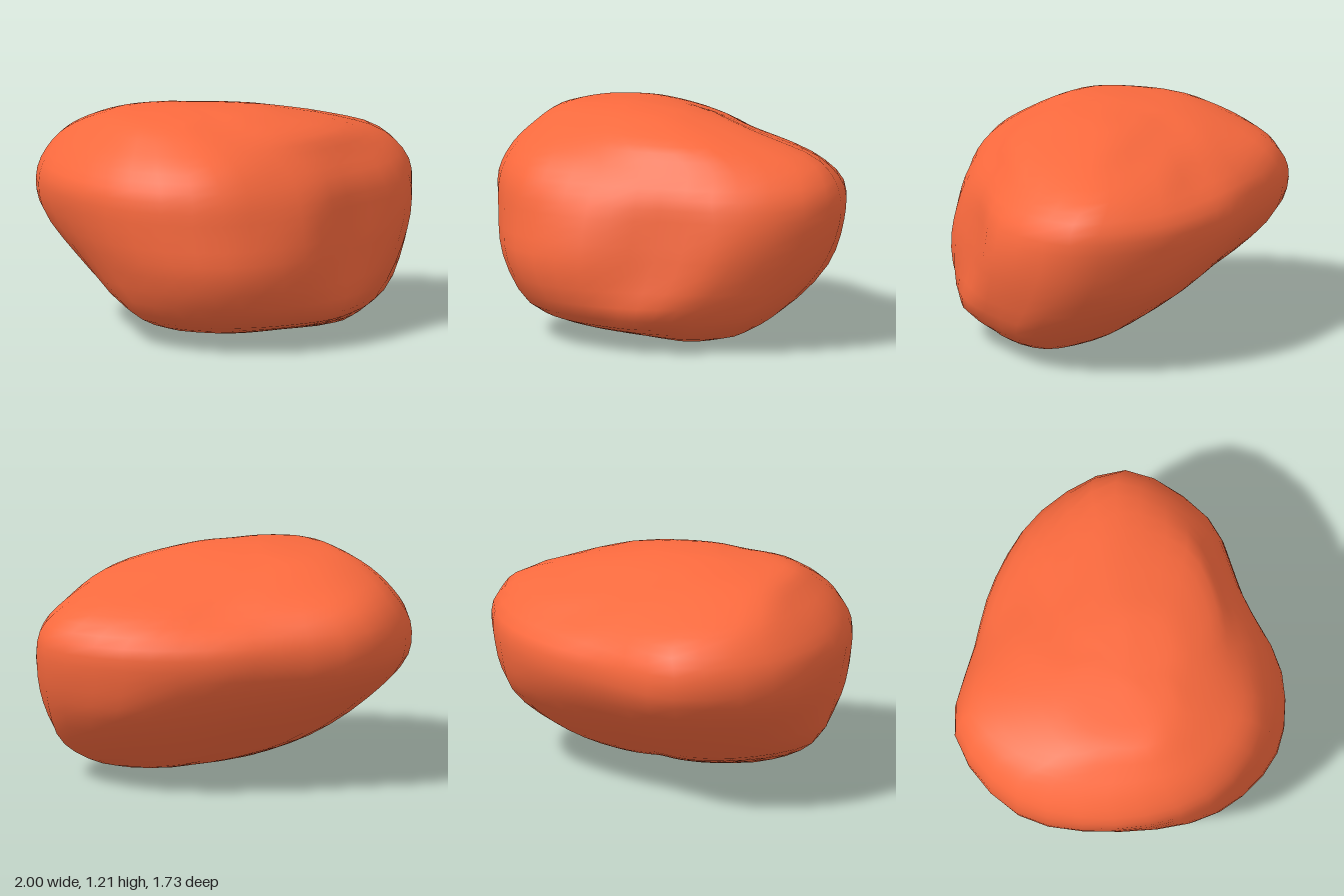
import * as THREE from 'three';

// Horizontal sections: height, centre x, centre z, then radii every 30 degrees
// starting at +x and turning towards the front (+z).
const SECTIONS = [
  { y: 0.06, cx: 0.05, cz: 0.22, r: [0.49, 0.43, 0.31, 0.27, 0.31, 0.43, 0.54, 0.36, 0.25, 0.20, 0.25, 0.36] },
  { y: 0.18, cx: 0, cz: 0.25, r: [0.75, 0.59, 0.55, 0.53, 0.58, 0.66, 0.73, 0.66, 0.58, 0.47, 0.54, 0.69] },
  { y: 0.42, cx: 0, cz: 0.10, r: [0.92, 0.80, 0.67, 0.75, 0.85, 0.88, 0.87, 0.89, 0.82, 0.67, 0.71, 0.86] },
  { y: 0.65, cx: 0, cz: 0, r: [0.99, 0.90, 0.73, 0.82, 0.93, 0.97, 0.97, 1.03, 0.96, 0.75, 0.76, 0.87] },
  { y: 0.83, cx: 0, cz: 0, r: [0.99, 0.85, 0.70, 0.75, 0.90, 0.97, 1.00, 1.04, 0.99, 0.76, 0.76, 0.87] },
  { y: 0.97, cx: -0.02, cz: -0.05, r: [0.89, 0.78, 0.67, 0.69, 0.86, 0.91, 0.90, 0.92, 0.85, 0.59, 0.53, 0.68] },
  { y: 1.08, cx: -0.15, cz: -0.02, r: [0.71, 0.71, 0.60, 0.55, 0.63, 0.67, 0.65, 0.70, 0.63, 0.49, 0.42, 0.47] },
  { y: 1.16, cx: -0.28, cz: 0, r: [0.48, 0.53, 0.43, 0.36, 0.40, 0.43, 0.41, 0.42, 0.38, 0.32, 0.28, 0.34] },
  { y: 1.19, cx: -0.25, cz: 0.05, r: [0.29, 0.30, 0.25, 0.20, 0.22, 0.26, 0.26, 0.25, 0.22, 0.19, 0.17, 0.20] },
];
const BOTTOM = new THREE.Vector3(0.15, 0, 0.2);
const TOP = new THREE.Vector3(-0.3, 1.205, 0.05);
const AROUND = 36;
const UP = 30;

// Closed smooth loop through one section
function sectionLoop({ y, cx, cz, r }) {
  const points = r.map((radius, i) => {
    const a = (i / r.length) * Math.PI * 2;
    return new THREE.Vector3(cx + radius * Math.cos(a), y, cz + radius * Math.sin(a));
  });
  return new THREE.CatmullRomCurve3(points, true);
}

// Skin the sections with smooth meridians running from the bottom to the top
function rockGeometry() {
  const loops = SECTIONS.map(sectionLoop);
  const positions = [];
  const index = [];
  for (let i = 0; i < AROUND; i++) {
    const meridian = new THREE.CatmullRomCurve3([
      BOTTOM, ...loops.map((loop) => loop.getPoint(i / AROUND)), TOP,
    ]);
    for (let j = 1; j < UP; j++) positions.push(...meridian.getPoint(j / UP).toArray());
  }
  const bottom = positions.length / 3;
  const top = bottom + 1;
  positions.push(...BOTTOM.toArray(), ...TOP.toArray());

  const rows = UP - 1;
  for (let i = 0; i < AROUND; i++) {
    const here = i * rows;
    const next = ((i + 1) % AROUND) * rows;
    index.push(bottom, here, next);
    for (let j = 0; j < rows - 1; j++) {
      index.push(here + j, here + j + 1, next + j);
      index.push(next + j, here + j + 1, next + j + 1);
    }
    index.push(here + rows - 1, top, next + rows - 1);
  }

  const geometry = new THREE.BufferGeometry();
  geometry.setAttribute('position', new THREE.Float32BufferAttribute(positions, 3));
  geometry.setIndex(index);
  geometry.computeVertexNormals();
  return geometry;
}

export function createModel() {
  const group = new THREE.Group();
  group.name = 'boulder';
  const rock = new THREE.Mesh(rockGeometry(), new THREE.MeshStandardMaterial({ color: 0xfb6a3e }));
  rock.name = 'rock';
  group.add(rock);
  return group;
}
